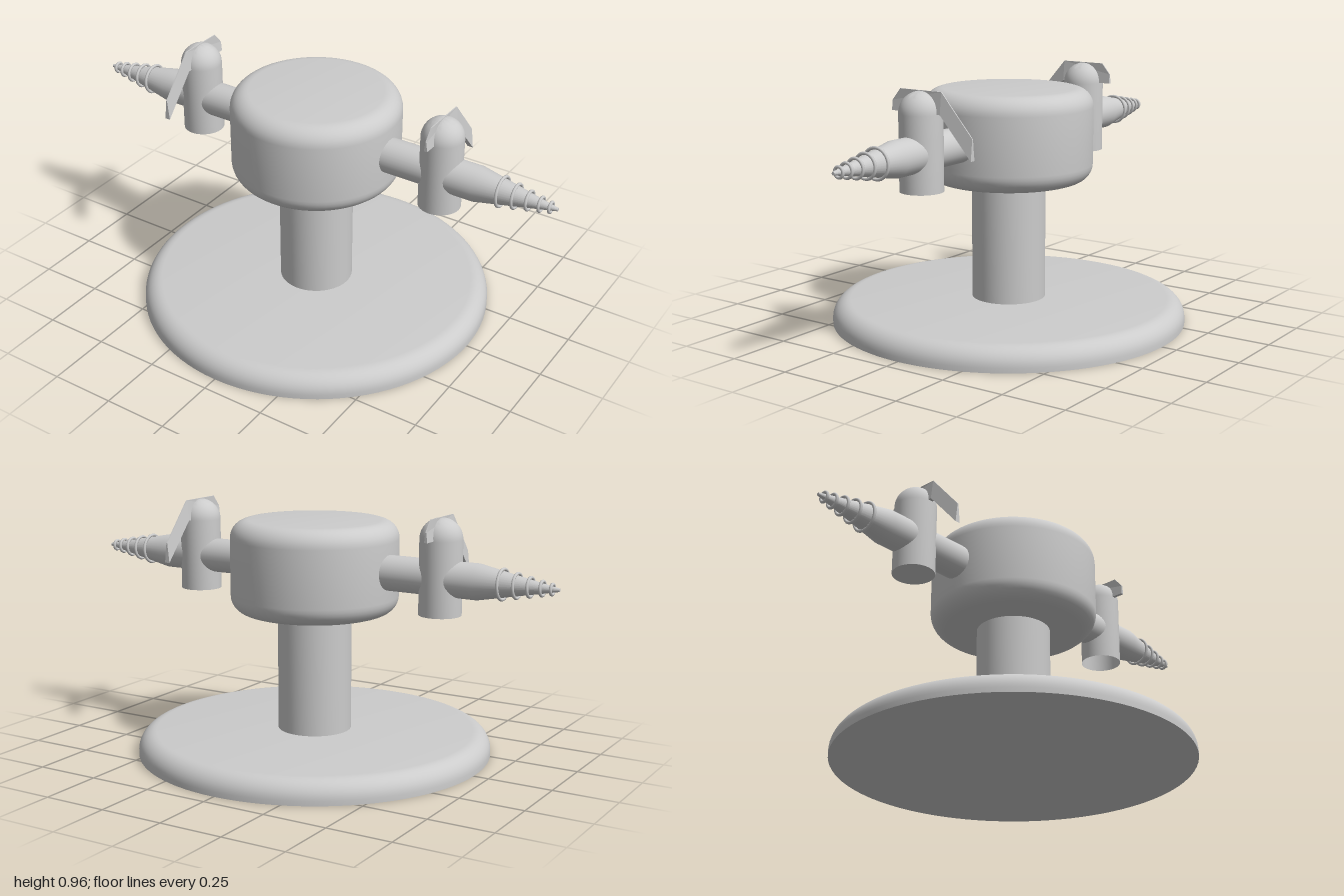
import * as THREE from 'three';
import { toCreasedNormals } from 'three/addons/utils/BufferGeometryUtils.js';

const grey = new THREE.MeshStandardMaterial({ color: 0xcccccc });
const greyDouble = new THREE.MeshStandardMaterial({ color: 0xcccccc, side: THREE.DoubleSide });
const AXIS_Y = 0.732, VALVE_X = 0.538;

function add(parent, name, geometry, material = grey) {
  const mesh = new THREE.Mesh(geometry, material);
  mesh.name = name;
  parent.add(mesh);
  return mesh;
}

// Points of a quarter round about (cx, cy)
function arc(cx, cy, r, from, to, n = 8) {
  return Array.from({ length: n + 1 }, (_, i) => {
    const a = from + (to - from) * i / n;
    return [Math.max(0, cx + r * Math.cos(a)), cy + r * Math.sin(a)];
  });
}

function turned(points, segments = 64) {
  const lathe = new THREE.LatheGeometry(points.map(p => new THREE.Vector2(...p)), segments);
  return toCreasedNormals(lathe, 0.6);
}

// Bent lever blade, sharp along its upper edge and thicker below
function bladeGeometry() {
  const outline = [[0.126, 0.877], [0.126, 0.914], [0.09, 0.957], [-0.093, 0.957],
    [-0.226, 0.804], [-0.226, 0.726], [-0.093, 0.877]];
  const shape = new THREE.Shape(outline.map(p => new THREE.Vector2(...p)));
  const geo = new THREE.ExtrudeGeometry(shape, { depth: 2, bevelEnabled: false });
  geo.translate(0, 0, -1);
  const pos = geo.attributes.position;
  for (let i = 0; i < pos.count; i++) {
    const z = pos.getX(i), y = pos.getY(i);
    const top = 0.957 - 1.15 * Math.max(0, z - 0.09, -0.093 - z);
    const half = 0.002 + 0.009 * Math.min(1, Math.max(0, (top - y) / 0.08));
    pos.setZ(i, pos.getZ(i) * half);
  }
  geo.rotateY(-Math.PI / 2);
  geo.computeVertexNormals();
  return geo;
}

// One side: pipe, valve, lever and barbed nozzle
function createArm(side, openValve) {
  const arm = new THREE.Group();
  arm.name = side + 'Arm';

  const pipe = add(arm, 'pipeAndNozzle', turned([[0.067, 0.25], [0.067, 0.69], [0.006, 1], [0, 1]], 32));
  pipe.rotation.z = -Math.PI / 2;
  pipe.position.y = AXIS_Y;

  // Thin barbs around the nozzle
  for (const x of [0.785, 0.84, 0.89, 0.935, 0.972]) {
    const r = 0.006 + 0.061 * (1 - x) / 0.31;
    const ring = add(arm, 'nozzleRing', new THREE.TorusGeometry(r + 0.007, 0.006, 8, 32));
    ring.rotation.y = Math.PI / 2;
    ring.position.set(x, AXIS_Y, 0);
  }

  // Round-topped upright valve
  const profile = [[0.08, 0.595], ...arc(0, 0.875, 0.08, 0, Math.PI / 2, 12)];
  if (!openValve) profile.unshift([0, 0.595]);
  add(arm, 'valveBody', turned(profile, 32), greyDouble).position.x = VALVE_X;
  add(arm, 'lever', bladeGeometry()).position.x = VALVE_X;
  return arm;
}

export function createModel() {
  const model = new THREE.Group();
  model.name = 'fountain';
  const q = Math.PI / 2;

  // Round foot plate with a rolled upper rim
  add(model, 'base', turned([[0, 0], [0.69, 0], [0.69, 0.018], ...arc(0.62, 0.018, 0.07, 0, q), [0, 0.088]], 96));

  // Column
  add(model, 'column', turned([[0.143, 0.08], [0.143, 0.57]], 48));

  // Drum-shaped head with rounded rims
  add(model, 'head', turned([[0, 0.55], ...arc(0.255, 0.62, 0.07, -q, 0), ...arc(0.255, 0.84, 0.07, 0, q), [0, 0.91]]));

  // Two arms, half a turn apart
  const left = createArm('left', true);
  const right = createArm('right', false);
  right.rotation.y = Math.PI;
  model.add(left, right);
  return model;
}
